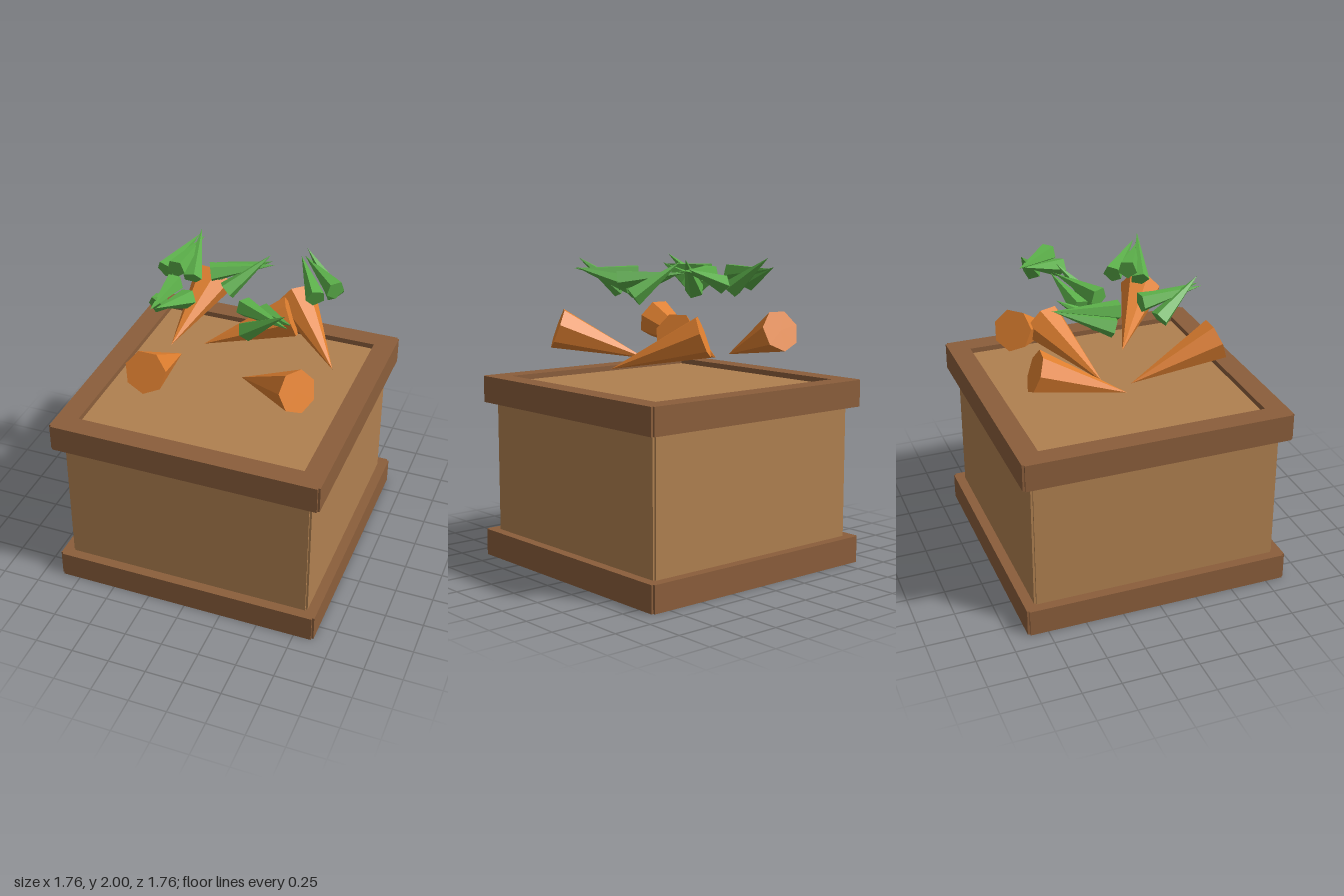
import * as THREE from 'three';

const flat = (name, color) => {
  const m = new THREE.MeshStandardMaterial({ color, flatShading: true });
  m.name = name;
  return m;
};

// Square outline with a small notch at each corner, where the boards meet
function boardOutline(half, notch) {
  const a = half, b = half - notch;
  return new THREE.Shape([
    [-b, -a], [b, -a], [b, -b], [a, -b], [a, b], [b, b],
    [b, a], [-b, a], [-b, b], [-a, b], [-a, -b], [-b, -b],
  ].map(([x, y]) => new THREE.Vector2(x, y)));
}

function slab(name, shape, y0, y1, material) {
  const g = new THREE.ExtrudeGeometry(shape, { depth: y1 - y0, bevelEnabled: false });
  g.rotateX(-Math.PI / 2);
  const mesh = new THREE.Mesh(g, material);
  mesh.position.y = y0;
  mesh.name = name;
  return mesh;
}

// Cone from the centre of its wide end to its tip
function spike(name, base, tip, radius, sides, material, thetaStart = 0) {
  const a = new THREE.Vector3(...base), b = new THREE.Vector3(...tip);
  const dir = b.clone().sub(a);
  const g = new THREE.ConeGeometry(radius, dir.length(), sides, 1, false, thetaStart);
  const mesh = new THREE.Mesh(g, material);
  mesh.quaternion.setFromUnitVectors(new THREE.Vector3(0, 1, 0), dir.normalize());
  mesh.position.copy(a.add(b).multiplyScalar(0.5));
  mesh.name = name;
  return mesh;
}

export function createModel() {
  const model = new THREE.Group();
  model.name = 'carrotCrate';
  const panelWood = flat('panelWood', 0xb08050);
  const frameWood = flat('frameWood', 0x8b5e3b);
  const orange = flat('carrotOrange', 0xe08030);
  const green = flat('leafGreen', 0x5cb04a);

  // Crate body, set in slightly at top and bottom
  model.add(slab('crateBody', boardOutline(0.815, 0.013), 0.035, 1.18, panelWood));

  // Frames around the bottom and the top
  const ring = boardOutline(0.88, 0.014);
  const h = 0.74;
  ring.holes.push(new THREE.Path([
    new THREE.Vector2(-h, -h), new THREE.Vector2(-h, h),
    new THREE.Vector2(h, h), new THREE.Vector2(h, -h),
  ]));
  model.add(slab('bottomFrame', ring, 0, 0.175, frameWood));
  model.add(slab('topFrame', ring, 1.04, 1.215, frameWood));

  // Leaves of one carrot: wide end and tip, measured from the root tip
  const leaves = [
    [[-0.02, 0.55, 0.05], [0, 0.59, 0.46]],
    [[0.09, 0.49, 0.10], [0.03, 0.60, 0.45]],
    [[-0.08, 0.45, 0.15], [0, 0.66, 0.43]],
  ];

  // Carrots: x and z of the root tip, then the direction towards the wide end
  const carrots = [
    [-0.35, 0.0, 0, 1],
    [-0.455, -0.07, 0.13, -0.99],
    [0.11, 0.12, 0.83, 0.555],
    [-0.26, -0.16, 0.935, -0.355],
    [0.62, -0.17, -0.68, -0.73],
  ];
  for (const [x, z, dx, dz] of carrots) {
    const carrot = new THREE.Group();
    carrot.name = 'carrot';
    carrot.position.set(x, 1.34, z);
    carrot.rotation.y = Math.atan2(dx, dz);

    // Seven-sided root with a flat edge on top, leaning 20 degrees
    const length = 0.605;
    const g = new THREE.ConeGeometry(0.137, length, 7, 1, false, Math.PI);
    g.translate(0, -length / 2, 0);
    g.rotateX(THREE.MathUtils.degToRad(-110));
    const root = new THREE.Mesh(g, orange);
    root.name = 'carrotRoot';
    carrot.add(root);

    // Tuft of leaves above the root
    const tuft = new THREE.Group();
    tuft.name = 'leafTuft';
    for (const [base, tip] of leaves) tuft.add(spike('leaf', base, tip, 0.064, 5, green));
    carrot.add(tuft);
    model.add(carrot);
  }
  return model;
}
